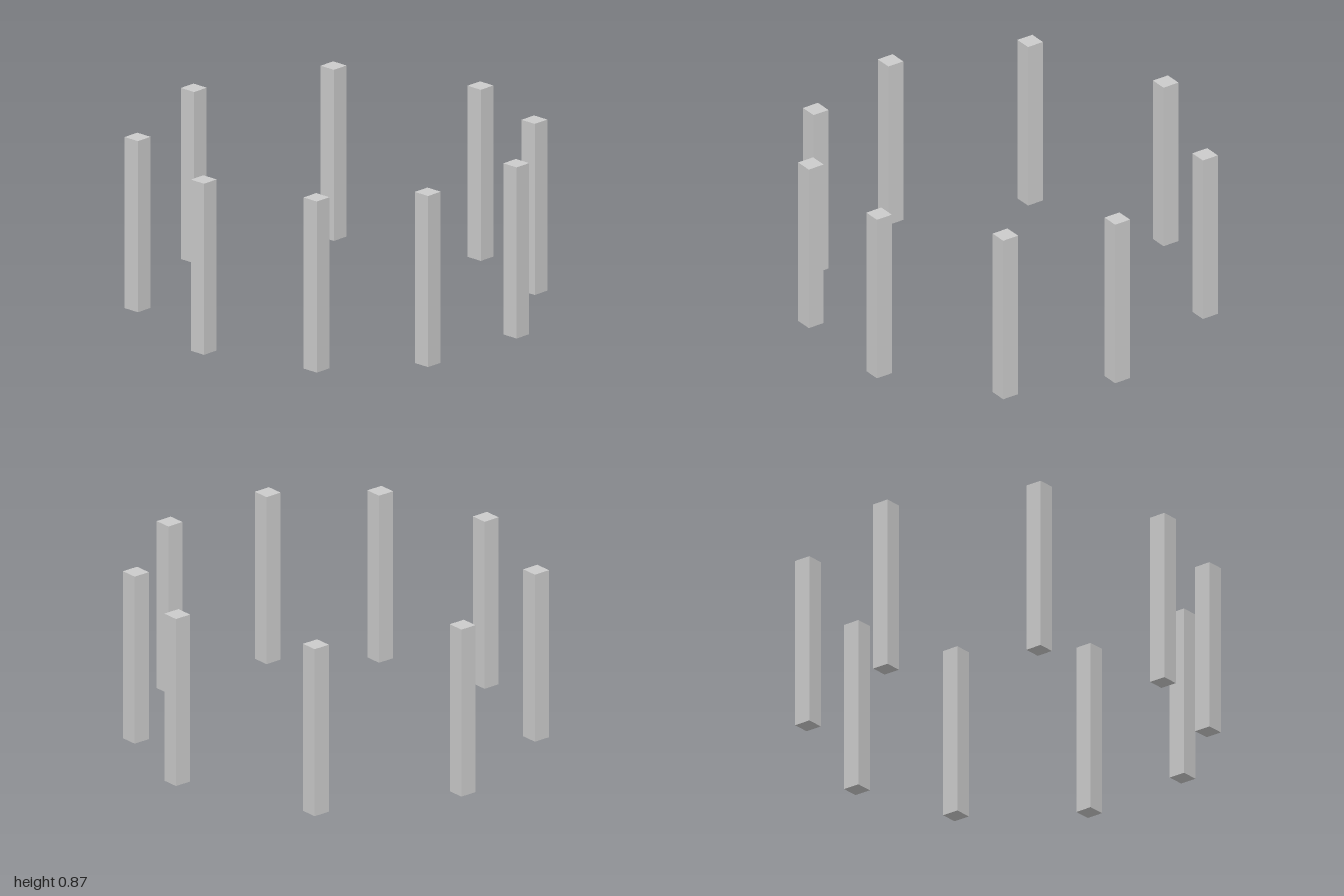
import * as THREE from 'three';

const POST_WIDTH = 0.088;
const POST_HEIGHT = 0.872;

// Post centres [x, z] around the ring, clockwise from the back
const POSTS = [
  [-0.016, -0.942],
  [0.682, -0.677],
  [0.956, 0.037],
  [0.773, 0.568],
  [0.251, 0.942],
  [-0.345, 0.92],
  [-0.772, 0.587],
  [-0.956, 0.014],
  [-0.723, -0.645],
];

export function createModel() {
  const model = new THREE.Group();
  model.name = 'postRing';
  const material = new THREE.MeshStandardMaterial({ color: 0xcccccc });

  // One square post, standing on the ground
  const geometry = new THREE.BoxGeometry(POST_WIDTH, POST_HEIGHT, POST_WIDTH);
  geometry.translate(0, POST_HEIGHT / 2, 0);

  // Upright posts, all square to the axes
  POSTS.forEach(([x, z], i) => {
    const post = new THREE.Mesh(geometry, material);
    post.name = `post${i + 1}`;
    post.position.set(x, 0, z);
    model.add(post);
  });

  return model;
}
